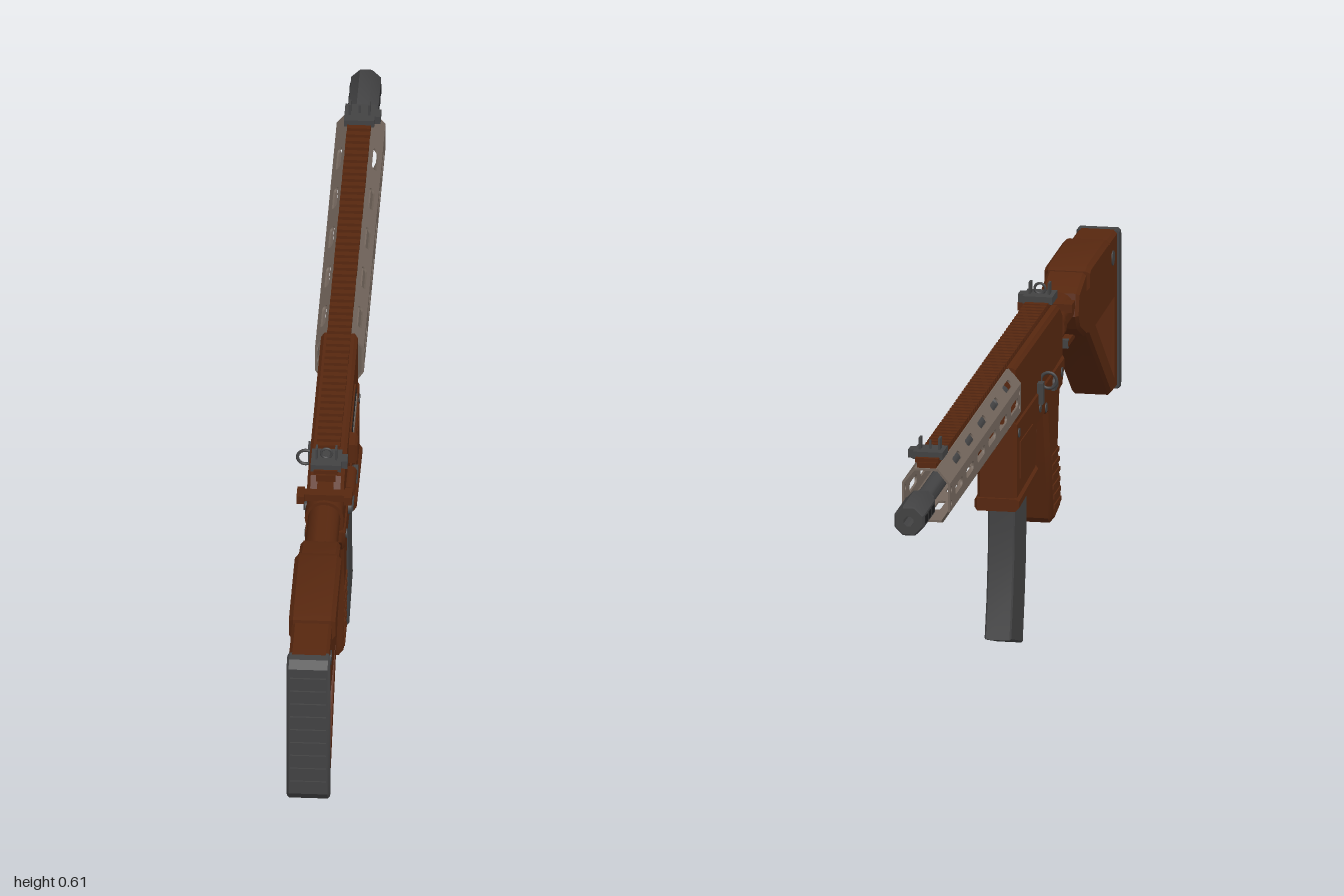
import * as THREE from 'three';
import { toCreasedNormals } from 'three/addons/utils/BufferGeometryUtils.js';

const CX = 0.004; // side-to-side centre of the main body
const BORE = 0.503;

export function createModel() {
  const root = new THREE.Group();
  root.name = 'rifle';
  const mat = (name, color) => {
    const m = new THREE.MeshStandardMaterial({ color });
    m.name = name;
    return m;
  };
  const brown = mat('brown', 0x57270f);
  const grey = mat('darkGrey', 0x424243);
  const taupe = mat('taupe', 0x74675d);
  const black = mat('black', 0x1c1c1d);

  const add = (name, geo, m, x = 0, y = 0, z = 0) => {
    const mesh = new THREE.Mesh(geo, m);
    mesh.name = name;
    mesh.position.set(x, y, z);
    root.add(mesh);
    return mesh;
  };
  const box = (name, m, w, h, d, x, y, z) => add(name, new THREE.BoxGeometry(w, h, d), m, x, y, z);
  const vecs = pts => pts.map(p => new THREE.Vector2(p[0], p[1]));

  // Side profile of [z, y] points, extruded across x about centre cx
  const profile = (name, m, pts, half, { cx = CX, bevel = 0.006, holes = [] } = {}) => {
    const shape = new THREE.Shape(vecs(pts));
    for (const h of holes) shape.holes.push(new THREE.Path(vecs(h)));
    const depth = 2 * (half - bevel);
    const geo = new THREE.ExtrudeGeometry(shape, {
      depth, bevelEnabled: true, bevelThickness: bevel, bevelSize: bevel, bevelOffset: -bevel, bevelSegments: 1
    });
    geo.translate(0, 0, -depth / 2);
    geo.rotateY(-Math.PI / 2);
    return add(name, toCreasedNormals(geo, 0.5), m, cx, 0, 0);
  };
  // Round part turned about the bore axis from [radius, -z] points
  const turned = (name, m, pts, sides = 24) => {
    const geo = new THREE.LatheGeometry(vecs(pts), sides);
    geo.rotateX(-Math.PI / 2);
    return add(name, toCreasedNormals(geo, 0.6), m, CX, BORE, 0);
  };
  // Short cylinder lying across x
  const pin = (name, m, r, len, x, y, z) => {
    const geo = new THREE.CylinderGeometry(r, r, len, 16);
    geo.rotateZ(Math.PI / 2);
    return add(name, geo, m, x, y, z);
  };

  // Shoulder stock with its triangular opening
  profile('stock', brown, [
    [0.968, 0.25], [0.968, 0.55], [0.64, 0.553], [0.565, 0.532], [0.555, 0.49],
    [0.575, 0.462], [0.64, 0.432], [0.67, 0.425], [0.90, 0.252]
  ], 0.037, { holes: [[[0.93, 0.425], [0.745, 0.425], [0.93, 0.283]]] });
  profile('cheekRest', brown, [[0.87, 0.515], [0.865, 0.557], [0.84, 0.562], [0.66, 0.562], [0.64, 0.555], [0.64, 0.515]], 0.043, { bevel: 0.008 });
  box('stockLever', brown, 0.03, 0.01, 0.07, CX, 0.432, 0.61);
  box('stockLeverTip', grey, 0.03, 0.016, 0.012, CX, 0.432, 0.58);
  for (const s of [-1, 1]) pin('stockSocket', grey, 0.014, 0.006, CX + s * 0.036, 0.51, 0.915);

  // Recoil pad with raised ribs
  profile('recoilPad', grey, [
    [0.962, 0.248], [0.962, 0.55], [0.985, 0.55], [0.996, 0.535], [0.997, 0.26], [0.985, 0.243]
  ], 0.04, { bevel: 0.004 });
  for (let i = 0; i < 9; i++) box('padRib', grey, 0.066, 0.012, 0.006, CX, 0.283 + i * 0.0285, 0.997);

  // Tube joining stock and receiver, with its collar
  turned('stockTube', brown, [[0, -0.6], [0.03, -0.6], [0.03, -0.38], [0, -0.38]]);
  turned('tubeCollar', brown, [[0, -0.447], [0.036, -0.447], [0.036, -0.422], [0, -0.422]]);

  // Receiver halves
  profile('upperReceiver', brown, [
    [0.415, 0.45], [0.415, 0.535], [0.385, 0.557], [-0.083, 0.559], [-0.083, 0.44], [0.2, 0.44]
  ], 0.034);
  profile('lowerReceiver', brown, [
    [0.42, 0.455], [0.42, 0.432], [0.395, 0.4], [0.25, 0.385], [0.22, 0.392], [0.13, 0.392],
    [0.118, 0.3], [-0.085, 0.288], [-0.085, 0.455]
  ], 0.037);
  profile('magazineWellLip', brown, [[0.12, 0.322], [0.116, 0.298], [-0.09, 0.286], [-0.09, 0.31]], 0.042);
  for (const s of [-1, 1]) {
    for (const [y, z] of [[0.43, 0.385], [0.43, -0.06], [0.405, 0.22], [0.42, 0.16]])
      pin('receiverPin', grey, 0.009, 0.006, CX + s * 0.036, y, z);
    box('wellPanel', brown, 0.004, 0.07, 0.13, CX + s * 0.037, 0.375, 0.015);
  }

  // Right-hand controls: ejection port, forward assist, deflector, release button
  box('portFrame', brown, 0.006, 0.044, 0.15, CX + 0.034, 0.508, 0.115);
  box('portOpening', black, 0.004, 0.03, 0.136, CX + 0.0365, 0.51, 0.115);
  box('boltCarrier', taupe, 0.004, 0.018, 0.126, CX + 0.038, 0.508, 0.115);
  box('portCover', brown, 0.012, 0.012, 0.15, CX + 0.037, 0.484, 0.115);
  profile('caseDeflector', brown, [[0.235, 0.485], [0.235, 0.525], [0.2, 0.53], [0.195, 0.485]], 0.012, { cx: 0.042, bevel: 0.005 });
  const assist = add('forwardAssist', new THREE.CylinderGeometry(0.012, 0.012, 0.07, 16), brown, 0.043, 0.487, 0.3);
  assist.rotation.x = Math.PI / 2;
  box('magazineRelease', grey, 0.012, 0.022, 0.03, CX + 0.04, 0.4, 0.145);

  // Left-hand controls: ring, bolt catch, selector levers
  add('boltRing', new THREE.TorusGeometry(0.015, 0.003, 8, 24), grey, -0.044, 0.465, 0.19);
  box('boltCatch', grey, 0.012, 0.04, 0.02, -0.035, 0.45, 0.155);
  for (const s of [-1, 1]) {
    pin('selectorHub', grey, 0.012, 0.012, CX + s * 0.037, 0.43, 0.3);
    box('selectorLever', grey, 0.006, 0.01, 0.04, CX + s * 0.043, 0.43, 0.285);
  }

  // Charging handle
  box('chargingHandle', brown, 0.1, 0.014, 0.02, CX, 0.543, 0.43);
  box('chargingHandleStem', brown, 0.03, 0.014, 0.05, CX, 0.543, 0.405);
  for (const s of [-1, 1]) box('chargingLatch', brown, 0.014, 0.016, 0.034, CX + s * 0.044, 0.543, 0.432);

  // Pistol grip with side ribs
  profile('grip', brown, [
    [0.395, 0.41], [0.385, 0.36], [0.375, 0.3], [0.405, 0.19], [0.4, 0.168], [0.33, 0.156],
    [0.315, 0.168], [0.275, 0.32], [0.255, 0.4]
  ], 0.033, { bevel: 0.009 });
  for (const s of [-1, 1]) for (let i = 0; i < 6; i++)
    box('gripRib', brown, 0.005, 0.008, 0.07, CX + s * 0.033, 0.188 + i * 0.02, 0.358 - i * 0.0045);

  // Trigger and guard
  const rod = pts => {
    const curve = new THREE.CatmullRomCurve3(pts.map(([y, z]) => new THREE.Vector3(0, y, z)));
    return new THREE.TubeGeometry(curve, 20, 0.006, 8);
  };
  const guardGeo = rod([[0.35, 0.265], [0.33, 0.245], [0.314, 0.22], [0.312, 0.16], [0.312, 0.115]]);
  guardGeo.scale(2.2, 1, 1);
  add('triggerGuard', guardGeo, brown, CX);
  add('trigger', rod([[0.4, 0.2], [0.375, 0.192], [0.35, 0.185], [0.33, 0.173]]), grey, CX);

  // Curved magazine
  profile('magazine', grey, [
    [0.09, 0.32], [0.09, 0.23], [0.083, 0.15], [0.07, 0.08], [0.05, 0],
    [-0.075, 0.036], [-0.055, 0.11], [-0.042, 0.19], [-0.038, 0.25], [-0.038, 0.32]
  ], 0.025, { bevel: 0.003 });

  // Full-length top rail with teeth
  box('railBase', brown, 0.036, 0.014, 1.215, CX, 0.56, -0.2075);
  const teeth = 58;
  for (let i = 0; i < teeth; i++) box('railTooth', brown, 0.044, 0.009, 0.012, CX, 0.57, 0.39 - i * (1.195 / (teeth - 1)));

  // Slotted hollow handguard: seven flat panels round the barrel
  const Z0 = -0.08;
  const half = [[0.022, 0.558], [0.045, 0.53], [0.045, 0.476], [0.026, 0.447]];
  const ring = [...half, ...half.slice().reverse().map(([x, y]) => [-x, y])];
  const endZ = y => (y > 0.47 ? -0.82 : -0.787);
  const slot = (z, v, len, h) => {
    const p = new THREE.Path(), r = h / 2, l = len / 2 - r;
    p.absarc(z + l, v, r, -Math.PI / 2, Math.PI / 2, false);
    p.absarc(z - l, v, r, Math.PI / 2, Math.PI * 1.5, false);
    p.closePath();
    return p;
  };
  for (let i = 0; i < ring.length - 1; i++) {
    const a = ring[i], b = ring[i + 1];
    const w = Math.hypot(b[0] - a[0], b[1] - a[1]);
    const shape = new THREE.Shape(vecs([[Z0, 0], [Z0, w], [endZ(b[1]), w], [endZ(a[1]), 0]]));
    const side = i === 1 || i === 5;
    const n = side ? 6 : 5;
    for (let k = 0; k < n; k++)
      shape.holes.push(slot((side ? -0.15 : -0.16) - k * (side ? 0.115 : 0.13), w / 2, side ? 0.075 : 0.066, side ? 0.018 : 0.014));
    if (side) for (const z of [-0.095, -0.805]) for (const v of [0.014, w - 0.014]) shape.holes.push(slot(z, v, 0.0121, 0.012));
    const geo = new THREE.ExtrudeGeometry(shape, { depth: 0.004, bevelEnabled: false, curveSegments: 5 });
    const v = new THREE.Vector3((b[0] - a[0]) / w, (b[1] - a[1]) / w, 0);
    const u = new THREE.Vector3(0, 0, 1);
    const nrm = new THREE.Vector3().crossVectors(u, v);
    geo.translate(0, 0, -0.004);
    geo.applyMatrix4(new THREE.Matrix4().makeBasis(u, v, nrm).setPosition(a[0], a[1], 0));
    add('handguardPanel', geo, taupe, CX);
  }
  box('handguardTop', taupe, 0.044, 0.004, 0.74, CX, 0.555, -0.45);

  // Barrel and muzzle brake
  turned('barrel', grey, [[0, 0.08], [0.026, 0.08], [0.026, 0.16], [0.017, 0.17], [0.017, 0.88], [0, 0.88]]);
  turned('muzzleBrake', grey, [
    [0.017, 0.845], [0.022, 0.845], [0.022, 0.86], [0.03, 0.88], [0.03, 0.995], [0.027, 1], [0.01, 1], [0.01, 0.93], [0, 0.93]
  ], 8).rotation.z = Math.PI / 8;
  for (const s of [-1, 1]) for (let k = 0; k < 3; k++)
    box('brakePort', black, 0.004, 0.014, 0.02, CX + s * 0.0272, BORE, -0.905 - k * 0.033);

  // Folding sights
  const sight = (name, z, ringed) => {
    box(name + 'Base', grey, 0.056, 0.014, 0.055, CX, 0.577, z);
    box(name + 'Clamp', grey, 0.012, 0.016, 0.025, 0.037, 0.576, z);
    for (const s of [-1, 1]) box(name + 'Ear', grey, 0.004, 0.026, 0.018, CX + s * 0.018, 0.593, z);
    if (ringed) add(name + 'Ring', new THREE.TorusGeometry(0.01, 0.0025, 8, 20), grey, CX, 0.593, z);
    else box(name + 'Post', grey, 0.004, 0.018, 0.004, CX, 0.592, z);
  };
  sight('rearSight', 0.365, true);
  sight('frontSight', -0.775, false);

  return root;
}
